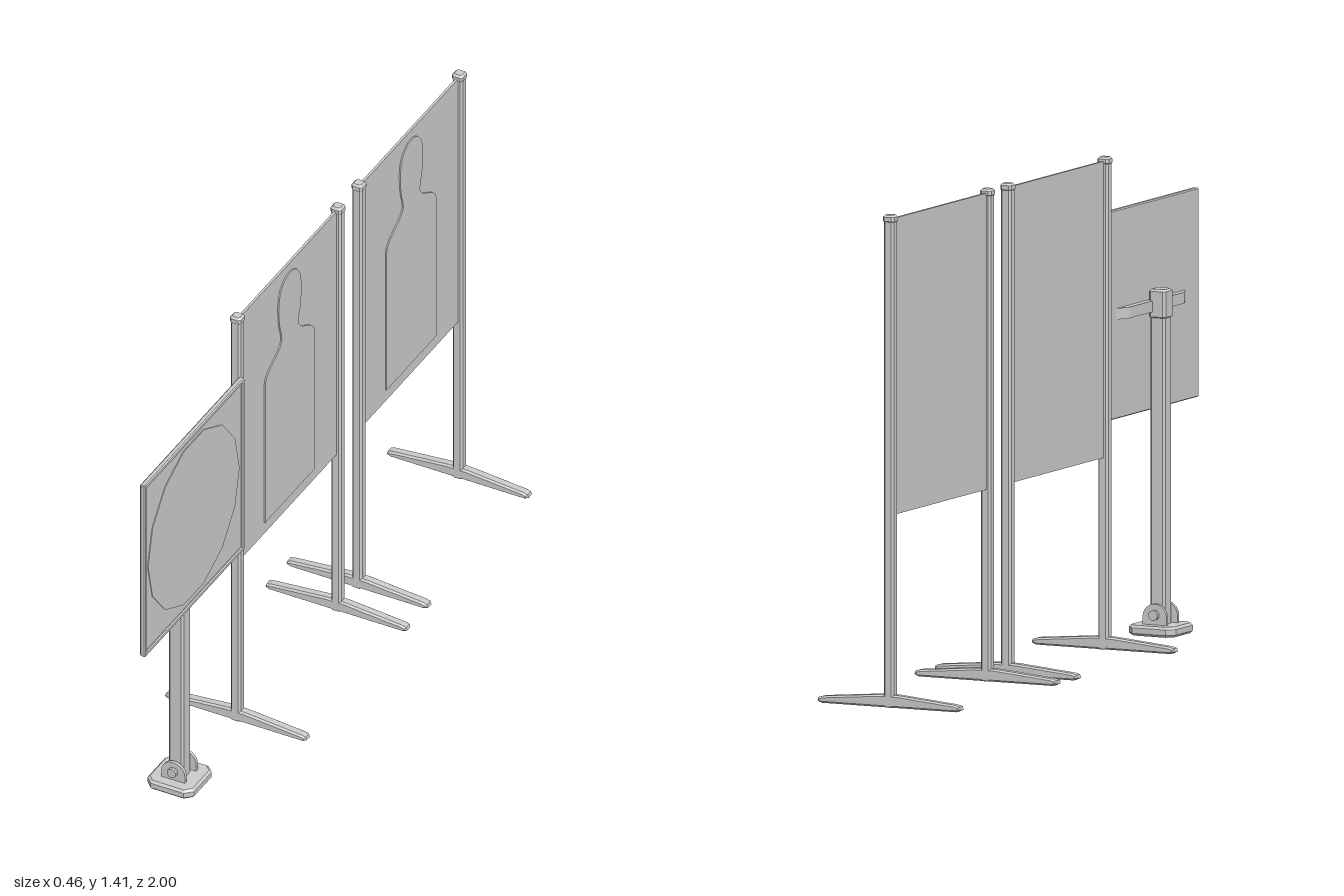
import * as THREE from 'three';

const mat = new THREE.MeshStandardMaterial({ color: 0xcccccc, flatShading: true });

function add(parent, name, geo, x = 0, y = 0, z = 0) {
  const m = new THREE.Mesh(geo, mat);
  m.name = name;
  m.position.set(x, y, z);
  parent.add(m);
  return m;
}

const poly = (pts) => new THREE.Shape(pts.map(([x, y]) => new THREE.Vector2(x, y)));

// Square with cut corners
function cutSquare(half, cut) {
  const a = half, b = half - cut;
  return poly([[a, -b], [a, b], [b, a], [-b, a], [-a, b], [-a, -b], [-b, -a], [b, -a]]);
}

// Upright bar standing on y = 0, bevelled at both ends
function upright(half, cut, height, bevel) {
  return new THREE.ExtrudeGeometry(cutSquare(half, cut), {
    depth: height - 2 * bevel, bevelEnabled: true, bevelThickness: bevel,
    bevelSize: bevel, bevelOffset: -bevel, bevelSegments: 1,
  }).rotateX(-Math.PI / 2).translate(0, bevel, 0);
}

// Plate in the z-y plane, thickness growing toward +x
const sidePlate = (shape, depth) =>
  new THREE.ExtrudeGeometry(shape, { depth, bevelEnabled: false, curveSegments: 10 }).rotateY(Math.PI / 2);

// Head and shoulders outline
function figureShape() {
  const s = new THREE.Shape();
  s.moveTo(-0.15, 0.59);
  s.lineTo(0.15, 0.59);
  s.lineTo(0.15, 1.07);
  s.bezierCurveTo(0.145, 1.12, 0.06, 1.125, 0.05, 1.165);
  s.lineTo(0.053, 1.19);
  s.quadraticCurveTo(0.068, 1.22, 0.068, 1.29);
  s.bezierCurveTo(0.068, 1.4, -0.068, 1.4, -0.068, 1.29);
  s.quadraticCurveTo(-0.068, 1.22, -0.053, 1.19);
  s.lineTo(-0.05, 1.165);
  s.bezierCurveTo(-0.06, 1.125, -0.145, 1.12, -0.15, 1.07);
  return s;
}

// Tapered foot bar running along x
function footGeometry() {
  const shape = poly([
    [-0.215, 0], [0.215, 0], [0.228, 0.006], [0.225, 0.016], [0.21, 0.02],
    [0.03, 0.036], [-0.03, 0.036], [-0.21, 0.02], [-0.225, 0.016], [-0.228, 0.006],
  ]);
  return new THREE.ExtrudeGeometry(shape, {
    depth: 0.02, bevelEnabled: true, bevelThickness: 0.006, bevelSize: 0.005,
    bevelOffset: -0.005, bevelSegments: 1,
  }).translate(0, 0, -0.01);
}

function figureBoard(name, z) {
  const g = new THREE.Group();
  g.name = name;
  g.position.z = z;
  add(g, 'panel', new THREE.BoxGeometry(0.008, 0.85, 0.6), 0, 0.975, 0);
  add(g, 'figure', sidePlate(figureShape(), 0.005), 0.003);
  for (const s of [-1, 1]) {
    add(g, 'post', upright(0.016, 0.006, 1.395, 0.002), 0, 0, s * 0.302);
    add(g, 'postCap', upright(0.018, 0.007, 0.024, 0.006), 0, 1.388, s * 0.302);
    add(g, 'foot', footGeometry(), 0, 0, s * 0.302);
  }
  return g;
}

function signStand() {
  const g = new THREE.Group();
  g.name = 'signStand';
  g.position.z = 0.7;

  // Base plate and post
  add(g, 'base', upright(0.075, 0.022, 0.03, 0.007));
  add(g, 'post', upright(0.024, 0.006, 0.96, 0.002), 0, 0.025);
  add(g, 'postCap', upright(0.027, 0.008, 0.085, 0.006), 0, 0.905);

  // Round-topped lugs bolted on either side of the post
  const lug = new THREE.Shape();
  lug.moveTo(-0.038, 0.025);
  lug.lineTo(0.038, 0.025);
  lug.lineTo(0.038, 0.052);
  lug.absarc(0, 0.052, 0.038, 0, Math.PI, false);
  const lugGeo = new THREE.ExtrudeGeometry(lug, { depth: 0.01, bevelEnabled: false, curveSegments: 8 })
    .translate(0, 0, -0.005);
  for (const s of [-1, 1]) {
    add(g, 'lug', lugGeo, 0, 0, s * 0.034);
    add(g, 'bolt', new THREE.CylinderGeometry(0.015, 0.015, 0.012, 10).rotateX(Math.PI / 2), 0, 0.058, s * 0.044);
  }

  // Cross arm with tapered ends behind the sign
  const arm = poly([[0.012, -0.17], [0.034, -0.22], [0.034, 0.22], [0.012, 0.17]]);
  add(g, 'crossArm', new THREE.ExtrudeGeometry(arm, { depth: 0.032, bevelEnabled: false })
    .rotateX(-Math.PI / 2), 0, 0.925);

  // Square board with raised rim and thin round target
  const sign = new THREE.Group();
  sign.name = 'signBoard';
  sign.position.set(0.032, 0.94, 0);
  g.add(sign);
  add(sign, 'board', new THREE.BoxGeometry(0.012, 0.59, 0.59), 0.006);
  const rim = cutSquare(0.3, 0.003);
  rim.holes.push(new THREE.Path(cutSquare(0.286, 0.001).getPoints().reverse()));
  add(sign, 'rim', new THREE.ExtrudeGeometry(rim, {
    depth: 0.01, bevelEnabled: true, bevelThickness: 0.004, bevelSize: 0.003, bevelOffset: -0.003, bevelSegments: 1,
  }).rotateY(Math.PI / 2), 0.004);
  add(sign, 'target', new THREE.CylinderGeometry(0.275, 0.275, 0.003, 14).rotateZ(-Math.PI / 2), 0.0125);
  return g;
}

export function createModel() {
  const model = new THREE.Group();
  model.name = 'targetStands';
  model.add(signStand(), figureBoard('middleBoard', 0.05), figureBoard('rearBoard', -0.68));
  return model;
}
